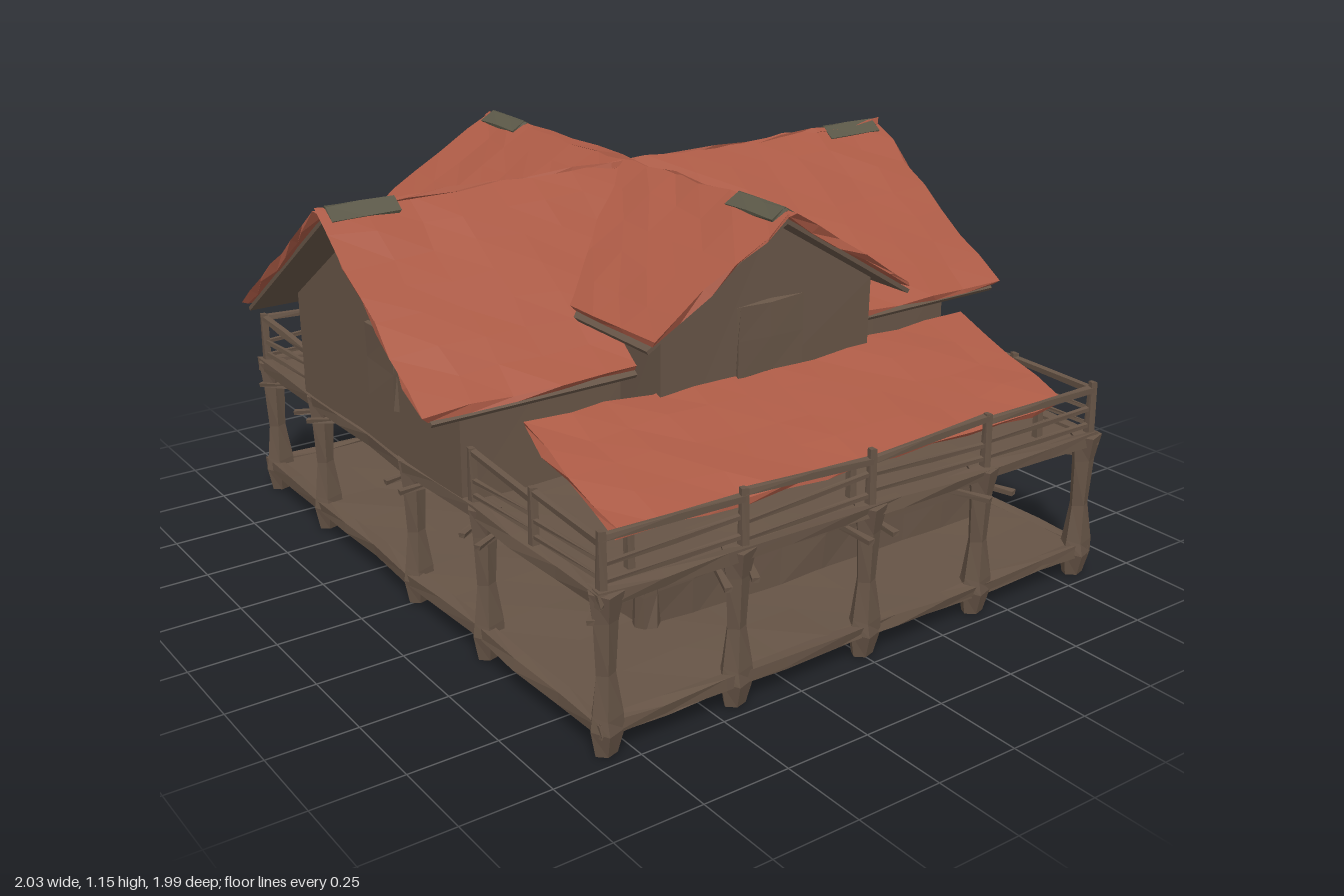
import * as THREE from 'three';

const mat = (name, color) => {
  const m = new THREE.MeshStandardMaterial({ color, flatShading: true });
  m.name = name;
  return m;
};
const wood = mat('weathered wood', 0x665446);
const tile = mat('clay tile', 0xab5a45);
const moss = mat('mossy ridge', 0x5a5747);

// Repeatable noise from a position, so shared corners move together
const noise = (x, y, z, k) => {
  const r = (v) => Math.round(v * 1000);
  const s = Math.sin(r(x) * 0.1271 + r(y) * 0.3117 + r(z) * 0.0747 + k * 41.3) * 43758.5453;
  return (s - Math.floor(s)) * 2 - 1;
};
const rough = (geo, ax, ay = ax, az = ax) => {
  const p = geo.attributes.position;
  for (let i = 0; i < p.count; i++) {
    const x = p.getX(i), y = p.getY(i), z = p.getZ(i);
    p.setXYZ(i, x + ax * noise(x, y, z, 1), y + ay * noise(x, y, z, 2), z + az * noise(x, y, z, 3));
  }
  geo.computeVertexNormals();
  return geo;
};

export function createModel() {
  const model = new THREE.Group();
  model.name = 'stiltHouse';

  const add = (name, geo, material, x = 0, y = 0, z = 0, parent = model) => {
    const m = new THREE.Mesh(geo, material);
    m.name = name;
    m.position.set(x, y, z);
    parent.add(m);
    return m;
  };
  const box = (name, x0, x1, y0, y1, z0, z1, seg = [1, 1, 1], amt = 0, parent = model) =>
    add(name, rough(new THREE.BoxGeometry(x1 - x0, y1 - y0, z1 - z0, ...seg), amt), wood,
      (x0 + x1) / 2, (y0 + y1) / 2, (z0 + z1) / 2, parent);

  // Square beam between two points
  const beam = (name, a, b, w, parent = model) => {
    const from = new THREE.Vector3(...a), to = new THREE.Vector3(...b);
    const len = from.distanceTo(to);
    const geo = rough(new THREE.BoxGeometry(w, w, len, 1, 1, Math.max(1, Math.round(len / 0.2))), w * 0.18);
    const m = add(name, geo, wood, 0, 0, 0, parent);
    m.position.copy(from).lerp(to, 0.5);
    m.lookAt(to);
    return m;
  };

  // Sloping panel in the x-y plane, running along z, upper face on the line a-b
  const panel = (name, a, b, length, t, material, amt, parent) => {
    const dx = b[0] - a[0], dy = b[1] - a[1], w = Math.hypot(dx, dy);
    const geo = new THREE.BoxGeometry(w, t, length, Math.max(1, Math.round(w / 0.1)), 1, Math.max(2, Math.round(length / 0.13)));
    rough(geo, amt, amt * 0.55, amt);
    geo.translate(0, -t / 2, 0);
    const m = add(name, geo, material, (a[0] + b[0]) / 2, (a[1] + b[1]) / 2, 0, parent);
    m.rotation.z = Math.atan2(dy, dx);
    return m;
  };

  // Pitched roof with timber boards under the tiles
  const gableRoof = (name, half, ridgeY, eaveY, length) => {
    const g = new THREE.Group();
    g.name = name;
    for (const s of [-1, 1]) {
      const ends = (d) => (s < 0 ? [[-half, eaveY - d], [0, ridgeY - d]] : [[0, ridgeY - d], [half, eaveY - d]]);
      panel('roofTiles', ...ends(0), length, 0.016, tile, 0.012, g);
      panel('roofBoards', ...ends(0.022), length - 0.03, 0.012, wood, 0, g);
      // Mossy caps at both ends of the ridge
      for (const e of [-1, 1]) {
        const k = 0.045, drop = (ridgeY - eaveY) * k / half, y = ridgeY + 0.008;
        const cap = s < 0 ? [[-k, y - drop], [0, y]] : [[0, y], [k, y - drop]];
        panel('ridgeCap', ...cap, 0.2, 0.009, moss, 0.003, g).position.z = e * (length / 2 - 0.125);
      }
    }
    model.add(g);
    return g;
  };

  // House body with pointed ends, extruded along z
  const gableBody = (name, half, baseY, wallY, peakY, length) => {
    const s = new THREE.Shape();
    s.moveTo(-half, baseY);
    s.lineTo(half, baseY);
    s.lineTo(half, wallY);
    s.lineTo(0, peakY);
    s.lineTo(-half, wallY);
    const geo = new THREE.ExtrudeGeometry(s, { depth: length, bevelEnabled: false, steps: 6 });
    geo.translate(0, 0, -length / 2);
    return add(name, rough(geo, 0.006), wood);
  };

  // Upper storey: two crossing gabled wings
  const RX = -0.15;
  gableBody('mainWing', 0.485, 0.44, 0.77, 1.105, 1.7).position.x = RX;
  gableRoof('mainRoof', 0.57, 1.15, 0.75, 1.97).position.x = RX;
  const cross = gableBody('crossWing', 0.355, 0.44, 0.9, 1.12, 1.37);
  cross.rotation.y = Math.PI / 2;
  cross.position.x = -0.155;
  const crossRoof = gableRoof('crossRoof', 0.45, 1.16, 0.885, 1.56);
  crossRoof.rotation.y = Math.PI / 2;
  crossRoof.position.x = -0.17;

  // Awnings over the side balconies
  panel('leftAwning', [0.5, 0.71], [0.92, 0.565], 1.51, 0.018, tile, 0.012, model);
  panel('rightAwning', [-0.96, 0.61], [-0.82, 0.72], 0.56, 0.018, tile, 0.01, model);
  for (const z of [-0.7, 0, 0.7]) beam('awningStrut', [0.88, 0.45, z], [0.88, 0.565, z], 0.02);

  // Lower storey with corner logs
  box('lowerHouse', -0.7, 0.64, 0.1, 0.44, -0.74, 0.49, [8, 3, 8], 0.01);
  for (const x of [-0.68, 0.62]) for (const z of [-0.72, 0.47])
    add('cornerLog', rough(new THREE.CylinderGeometry(0.035, 0.04, 0.33, 7, 3), 0.006), wood, x, 0.265, z);

  // Floor and balcony deck
  box('floor', -0.98, 0.97, 0.08, 0.11, -0.84, 0.84, [10, 1, 9], 0.006);
  box('deck', -0.98, 0.97, 0.43, 0.452, -0.84, 0.84, [10, 1, 9], 0.004);
  for (const y of [0.1, 0.445]) {
    for (const z of [-0.835, 0.835]) beam('edgeBeam', [-0.985, y, z], [0.975, y, z], 0.035);
    for (const x of [-0.965, 0.96]) beam('edgeBeam', [x, y, -0.85], [x, y, 0.85], 0.035);
  }

  // Posts with feet and diagonal braces
  const post = (x, z, alongX) => {
    const g = new THREE.Group();
    g.name = 'post';
    g.position.set(x, 0, z);
    const lathe = new THREE.LatheGeometry([[0, 0.02], [0.03, 0.02], [0.046, 0.09], [0.04, 0.13], [0.028, 0.24], [0.032, 0.38], [0.045, 0.46], [0, 0.46]]
      .map(([r, y]) => new THREE.Vector2(r, y)), 5);
    add('postShaft', rough(lathe, 0.004), wood, 0, 0, 0, g);
    for (const s of [-1, 1]) {
      const far = alongX ? x + s * 0.09 : z + s * 0.09;
      if (Math.abs(far) > (alongX ? 0.97 : 0.85)) continue;
      const top = alongX ? [s * 0.09, 0.43, 0] : [0, 0.43, s * 0.09];
      beam('brace', [0, 0.345, 0], top, 0.016, g);
    }
    model.add(g);
  };
  const xs = [-0.95, -0.59, 0, 0.39, 0.95], zs = [-0.83, -0.41, 0, 0.43, 0.83];
  for (const z of [-0.82, 0.82]) for (const x of xs) post(x, z, true);
  for (const x of [-0.95, 0.95]) for (const z of zs.slice(1, 4)) post(x, z, false);

  // Balcony railings
  const railing = (a, b, n) => {
    const at = (t, y) => [a[0] + (b[0] - a[0]) * t, y, a[1] + (b[1] - a[1]) * t];
    for (let i = 0; i <= n; i++) {
      beam('railPost', at(i / n, 0.44), at(i / n, 0.612), 0.024);
      if (i === n) continue;
      const wob = 0.012 * noise(a[0], i, a[1], 4);
      beam('topRail', at(i / n, 0.592 + wob), at((i + 1) / n, 0.592 - wob), 0.016);
      beam('middleRail', at(i / n, 0.535 - wob), at((i + 1) / n, 0.53 + wob), 0.011);
      beam('lowRail', at(i / n, 0.485), at((i + 1) / n, 0.485 + wob), 0.011);
    }
  };
  for (const x of [-0.96, 0.955]) railing([x, -0.83], [x, 0.83], 4);
  for (const z of [-0.83, 0.83]) {
    railing([-0.96, z], [-0.64, z], 1);
    railing([0.36, z], [0.955, z], 2);
  }

  // Framed windows, built facing +z
  const windowFrame = (name, w, h, x, y, z, turn) => {
    const g = new THREE.Group();
    g.name = name;
    g.position.set(x, y, z);
    g.rotation.y = turn;
    const t = 0.022;
    for (const s of [-1, 1]) {
      box('frameSide', s * w / 2 - t / 2, s * w / 2 + t / 2, -h / 2, h / 2, -0.01, 0.022, [1, 1, 1], 0.003, g);
      box('frameRail', -w / 2 - t, w / 2 + t, s * h / 2 - t / 2, s * h / 2 + t / 2, -0.01, 0.025, [1, 1, 1], 0.003, g);
    }
    box('mullion', -0.006, 0.006, -h / 2, h / 2, -0.01, 0.014, [1, 1, 1], 0, g);
    model.add(g);
  };
  const H = Math.PI / 2;
  windowFrame('frontWindow', 0.24, 0.16, -0.37, 0.305, 0.492, 0);
  windowFrame('frontWindow', 0.18, 0.16, 0.13, 0.305, 0.492, 0);
  windowFrame('backWindow', 0.22, 0.16, 0.2, 0.305, -0.742, 2 * H);
  windowFrame('leftWindow', 0.23, 0.16, -0.0 + 0.642, 0.3, -0.45, H);
  windowFrame('rightWindow', 0.23, 0.16, -0.702, 0.3, -0.2, -H);
  windowFrame('backGableWindow', 0.2, 0.17, -0.15, 0.72, -0.852, 2 * H);
  box('frontGableShutter', -0.16, 0, 0.6, 0.82, 0.85, 0.862, [1, 2, 1], 0.005);
  box('leftGableShutter', 0.53, 0.54, 0.7, 0.9, -0.11, 0.11, [1, 2, 2], 0.004);

  // Rough stubs under the floor
  for (let i = 0; i < 8; i++) for (let j = 0; j < 6; j++) {
    const x = -0.64 + i * 0.175 + 0.06 * noise(i, j, 1, 5);
    const z = -0.62 + j * 0.2 + 0.07 * noise(i, j, 2, 6);
    const r = 0.025 + 0.008 * noise(i, j, 3, 7);
    add('floorStub', new THREE.CylinderGeometry(r, r * 0.4, 0.065, 4), wood, x, 0.055, z).rotation.y = i + j * 2;
  }

  // Broken step at the back
  for (const x of [-0.06, 0, 0.07]) beam('backStep', [x, 0.1, -0.84], [x * 1.3, 0.03, -0.97], 0.018);
  beam('backTread', [-0.08, 0.06, -0.91], [0.09, 0.065, -0.91], 0.016);

  return model;
}
